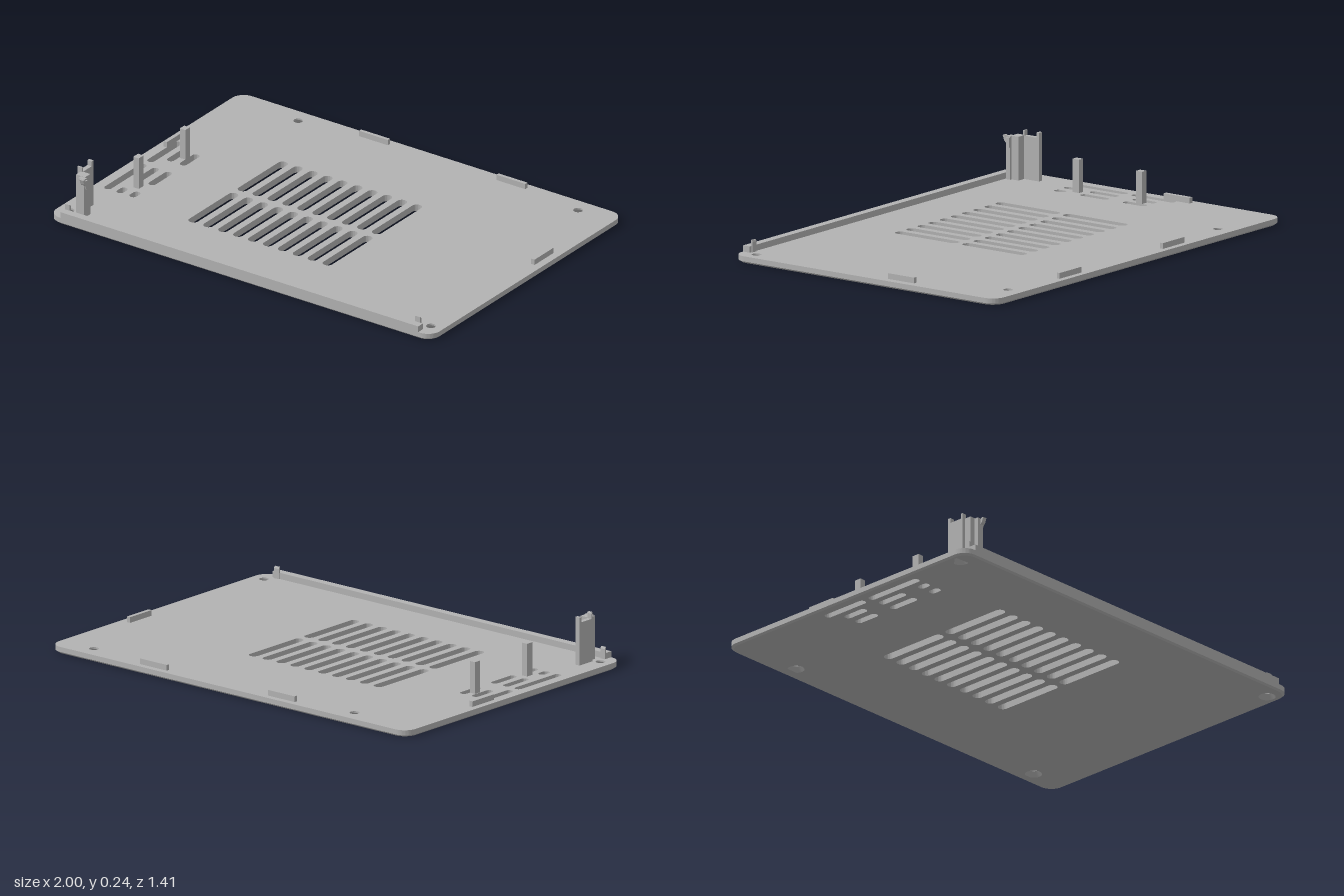
import * as THREE from 'three';
import { toCreasedNormals } from 'three/addons/utils/BufferGeometryUtils.js';

const T = 0.03;               // plate thickness
const W = 1, D = 0.705, R = 0.06;
const screws = [[-0.645, -0.63], [0.815, -0.63], [-0.945, 0.625], [0.94, 0.625]];

// Rounded slot running along z
function slot(x, z0, z1, w) {
  const r = w / 2, p = new THREE.Path();
  p.absarc(x, -z0 - r, r, 0, Math.PI, false);
  p.absarc(x, -z1 + r, r, Math.PI, Math.PI * 2, false);
  p.closePath();
  return p;
}

function plateGeometry() {
  const s = new THREE.Shape();
  s.absarc(W - R, D - R, R, 0, Math.PI / 2, false);
  s.absarc(-W + R, D - R, R, Math.PI / 2, Math.PI, false);
  s.absarc(-W + R, -D + R, R, Math.PI, Math.PI * 1.5, false);
  s.absarc(W - R, -D + R, R, Math.PI * 1.5, Math.PI * 2, false);
  s.closePath();

  // Two rows of large vents
  for (let i = 0; i < 10; i++) {
    const x = -0.462 + i * 0.0778;
    s.holes.push(slot(x, -0.28, 0.055, 0.045), slot(x, 0.083, 0.417, 0.045));
  }
  // Small vents near the right edge
  s.holes.push(slot(-0.937, -0.175, 0.055, 0.034), slot(-0.937, 0.083, 0.37, 0.034));
  for (const x of [-0.873, -0.806]) {
    s.holes.push(slot(x, -0.12, 0, 0.034), slot(x, 0.083, 0.23, 0.034), slot(x, 0.313, 0.37, 0.034));
  }
  // Screw holes
  for (const [x, z] of screws) {
    const p = new THREE.Path();
    p.absarc(x, -z, 0.021, 0, Math.PI * 2, false);
    s.holes.push(p);
  }

  const g = new THREE.ExtrudeGeometry(s, { depth: T, steps: 4, bevelEnabled: false, curveSegments: 10 });
  g.rotateX(-Math.PI / 2);

  // Countersink the screw holes and chamfer the bottom rim
  const p = g.attributes.position;
  for (let i = 0; i < p.count; i++) {
    const x = p.getX(i), y = p.getY(i), z = p.getZ(i);
    const hole = screws.find(([a, b]) => Math.hypot(x - a, z - b) < 0.0225);
    if (hole) {
      const k = 1 + 0.75 * Math.max(0, 1 - y / 0.0225);
      p.setX(i, hole[0] + (x - hole[0]) * k);
      p.setZ(i, hole[1] + (z - hole[1]) * k);
    } else if (Math.abs(z) > 0.6 && y < 0.001) {
      p.setX(i, x - Math.sign(x) * 0.008);
      p.setZ(i, z - Math.sign(z) * 0.008);
    }
  }
  return toCreasedNormals(g, 0.5);
}

export function createModel() {
  const model = new THREE.Group();
  model.name = 'basePanel';
  const grey = new THREE.MeshStandardMaterial({ color: 0xb2b2b2 });
  grey.name = 'grey plastic';

  const add = (name, geometry, parent = model) => {
    const m = new THREE.Mesh(geometry, grey);
    m.name = name;
    parent.add(m);
    return m;
  };
  // Box given by its limits on each axis
  const box = (name, x0, x1, y0, y1, z0, z1, parent) =>
    add(name, new THREE.BoxGeometry(x1 - x0, y1 - y0, z1 - z0), parent)
      .position.set((x0 + x1) / 2, (y0 + y1) / 2, (z0 + z1) / 2);
  // Profile of [z, y] points extruded along x
  const profile = (name, pts, x0, x1, parent) => {
    const s = new THREE.Shape(pts.map(([z, y]) => new THREE.Vector2(-z, y)));
    const g = new THREE.ExtrudeGeometry(s, { depth: x1 - x0, bevelEnabled: false });
    g.rotateY(Math.PI / 2);
    g.translate(x0, 0, 0);
    add(name, g, parent);
  };

  add('plate', plateGeometry());

  // Raised lip along the front, with a clip at each end
  box('frontLip', -0.937, 0.93, T - 0.002, 0.057, 0.669, D);
  for (const [x0, x1] of [[-0.937, -0.912], [0.89, 0.917]]) {
    profile('lipClip', [[0.663, T], [0.672, T], [0.672, 0.083], [0.667, 0.083], [0.663, 0.075]], x0, x1);
  }

  // Locating ribs on the back and side edges
  for (const x of [-0.35, 0.367]) box('backRib', x, x + 0.15, T - 0.002, 0.055, -0.677, -0.661);
  for (const x of [-0.962, 0.956]) box('sideRib', x - 0.009, x + 0.009, T - 0.002, 0.055, -0.24, -0.1);

  // Two support posts between the small vents
  box('supportPost', -0.852, -0.823, T - 0.002, 0.17, -0.085, -0.052);
  box('supportPost', -0.852, -0.823, T - 0.002, 0.175, 0.254, 0.289);

  // Corner bracket: notched wall, stepped column and hook
  const bracket = new THREE.Group();
  bracket.name = 'cornerBracket';
  model.add(bracket);
  profile('notchedWall', [
    [0.523, 0.028], [0.609, 0.028], [0.609, 0.242], [0.601, 0.242],
    [0.601, 0.219], [0.537, 0.219], [0.537, 0.242], [0.523, 0.242],
  ], -0.915, -0.893, bracket);
  box('column', -0.9, -0.853, 0.028, 0.221, 0.603, 0.642, bracket);
  box('columnStep', -0.875, -0.844, 0.028, 0.219, 0.64, 0.661, bracket);
  profile('hook', [
    [0.642, 0.17], [0.652, 0.17], [0.659, 0.19], [0.668, 0.2],
    [0.676, 0.222], [0.667, 0.222], [0.658, 0.212], [0.642, 0.212],
  ], -0.858, -0.838, bracket);

  return model;
}
